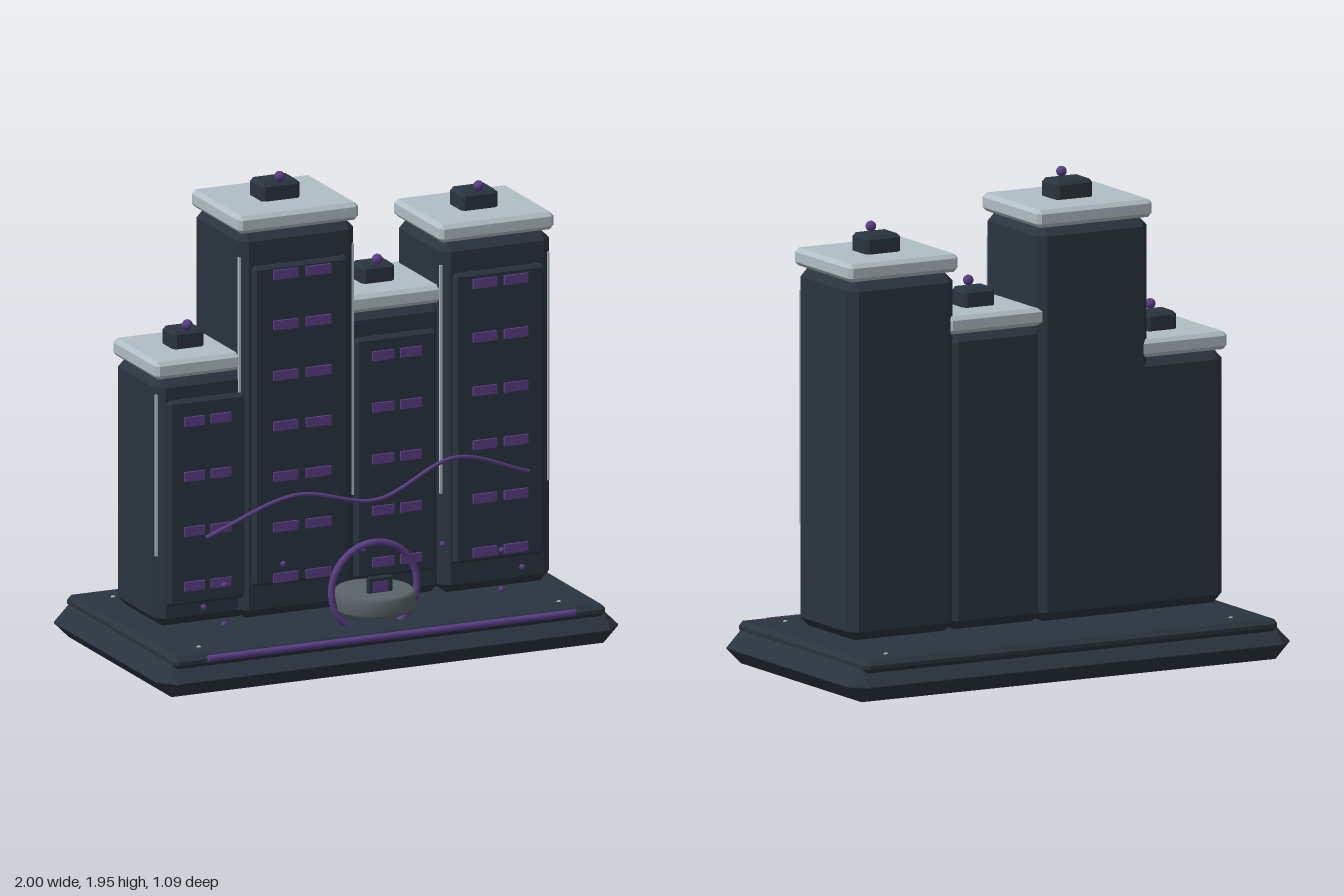
import * as THREE from 'three';
import { ConvexGeometry } from 'three/addons/geometries/ConvexGeometry.js';

const mat = (color) => new THREE.MeshStandardMaterial({ color });
const DARK = mat(0x2a343f), PALE = mat(0xb0bec5), PURPLE = mat(0x5a3d85), GREY = mat(0x5a6468);

// Box with every edge cut at 45 degrees
function chamferBox(w, h, d, c) {
  const pts = [];
  for (const sx of [-1, 1]) for (const sy of [-1, 1]) for (const sz of [-1, 1]) {
    for (let axis = 0; axis < 3; axis++) {
      const p = [w / 2 - c, h / 2 - c, d / 2 - c];
      p[axis] += c;
      pts.push(new THREE.Vector3(sx * p[0], sy * p[1], sz * p[2]));
    }
  }
  return new ConvexGeometry(pts);
}

function add(parent, name, geometry, material, x, y, z) {
  const mesh = new THREE.Mesh(geometry, material);
  mesh.name = name;
  mesh.position.set(x, y, z);
  parent.add(mesh);
  return mesh;
}

const BOTTOM = 0.19;

function makeTower(t) {
  const g = new THREE.Group();
  g.name = t.name;
  g.position.set(t.x, 0, t.z);
  const h = t.top - BOTTOM, mid = BOTTOM + h / 2, front = t.d / 2;
  add(g, 'towerBody', chamferBox(t.w, h, t.d, 0.037), DARK, 0, mid, 0);
  add(g, 'facadePanel', chamferBox(t.w * 0.81, h * 0.825, 0.05, 0.012), DARK, 0, mid, front);

  // Window pairs
  const pane = new THREE.BoxGeometry(t.w * 0.213, 0.038, 0.016);
  for (let i = 0; i < t.rows; i++) {
    const y = 0.357 + (i / (t.rows - 1)) * (t.lastRow - 0.357);
    for (const s of [-1, 1]) add(g, 'window', pane, PURPLE, s * t.w * 0.14, y, front + 0.027);
  }

  // Pale vertical trims on the front corners
  const trim = new THREE.BoxGeometry(0.01, h * 0.65, 0.01);
  for (const s of [-1, 1]) add(g, 'cornerTrim', trim, PALE, s * (t.w / 2 - 0.008), BOTTOM + h * 0.61, front - 0.028);

  // Roof slab, rooftop unit and beacon
  add(g, 'roofSlab', chamferBox(t.w + 0.015, 0.072, t.d + 0.012, 0.016), PALE, 0, t.cap + 0.036, 0);
  add(g, 'roofUnit', chamferBox(t.w * 0.33, 0.085, t.d * 0.29, 0.014), DARK, 0, t.cap + 0.101, 0);
  add(g, 'beacon', new THREE.SphereGeometry(0.021, 20, 14), PURPLE, 0, t.cap + 0.163, t.d * 0.1);
  return g;
}

export function createModel() {
  const model = new THREE.Group();
  model.name = 'towerBlockDisplay';

  // Plinth
  add(model, 'plinth', chamferBox(2, 0.132, 1.09, 0.064), DARK, 0, 0.066, 0);
  add(model, 'plinthTop', chamferBox(1.87, 0.05, 1.03, 0.018), DARK, 0, 0.14, 0);
  const strip = add(model, 'frontLightStrip', new THREE.CylinderGeometry(0.014, 0.014, 1.59, 12), PURPLE, 0, 0.149, 0.517);
  strip.rotation.z = Math.PI / 2;
  for (const x of [-0.78, 0.78]) for (const z of [-0.4, 0.4])
    add(model, 'plinthStud', new THREE.SphereGeometry(0.011, 10, 8).scale(1, 0.7, 0.5), PALE, x, 0.164, z);

  // Towers
  [
    { name: 'outerRightTower', x: -0.65, z: -0.028, w: 0.41, d: 0.405, top: 1.205, cap: 1.205, rows: 4, lastRow: 1.03 },
    { name: 'tallestTower', x: -0.257, z: -0.018, w: 0.505, d: 0.45, top: 1.77, cap: 1.768, rows: 7, lastRow: 1.595 },
    { name: 'innerLeftTower', x: 0.173, z: -0.027, w: 0.43, d: 0.39, top: 1.38, cap: 1.375, rows: 5, lastRow: 1.2 },
    { name: 'outerLeftTower', x: 0.604, z: -0.015, w: 0.48, d: 0.44, top: 1.625, cap: 1.628, rows: 6, lastRow: 1.455 },
  ].forEach((t) => model.add(makeTower(t)));

  // Round pedestal with upright ring and small plaque
  const profile = [[0, 0.22], [0.152, 0.22], [0.165, 0.233], [0.165, 0.287], [0.152, 0.3], [0, 0.3]]
    .map(([r, y]) => new THREE.Vector2(r, y));
  add(model, 'pedestalDisc', new THREE.LatheGeometry(profile, 40), GREY, 0, 0, 0.355);
  add(model, 'ring', new THREE.TorusGeometry(0.185, 0.014, 12, 56), PURPLE, 0, 0.305, 0.357);
  add(model, 'plaque', chamferBox(0.11, 0.07, 0.018, 0.007), DARK, 0, 0.332, 0.408);
  add(model, 'plaqueInset', new THREE.BoxGeometry(0.065, 0.042, 0.008), PURPLE, 0, 0.325, 0.416);

  // Floating ribbon of light
  const path = new THREE.CatmullRomCurve3([
    [-0.7, 0.575, 0.293], [-0.33, 0.715, 0.333], [0.02, 0.657, 0.34], [0.36, 0.785, 0.328], [0.7, 0.68, 0.293],
  ].map((p) => new THREE.Vector3(...p)));
  add(model, 'lightRibbon', new THREE.TubeGeometry(path, 72, 0.008, 10), PURPLE, 0, 0, 0);

  // Floating sparks in front of the facades
  const spark = new THREE.SphereGeometry(0.012, 12, 8);
  add(model, 'spark', spark, PURPLE, 0, 0.435, 0.252);
  for (const s of [-1, 1])
    for (const [x, y] of [[0.345, 0.415], [0.6, 0.36], [0.69, 0.28], [0.6, 0.2]])
      add(model, 'spark', spark, PURPLE, s * x, y, 0.252);

  return model;
}
